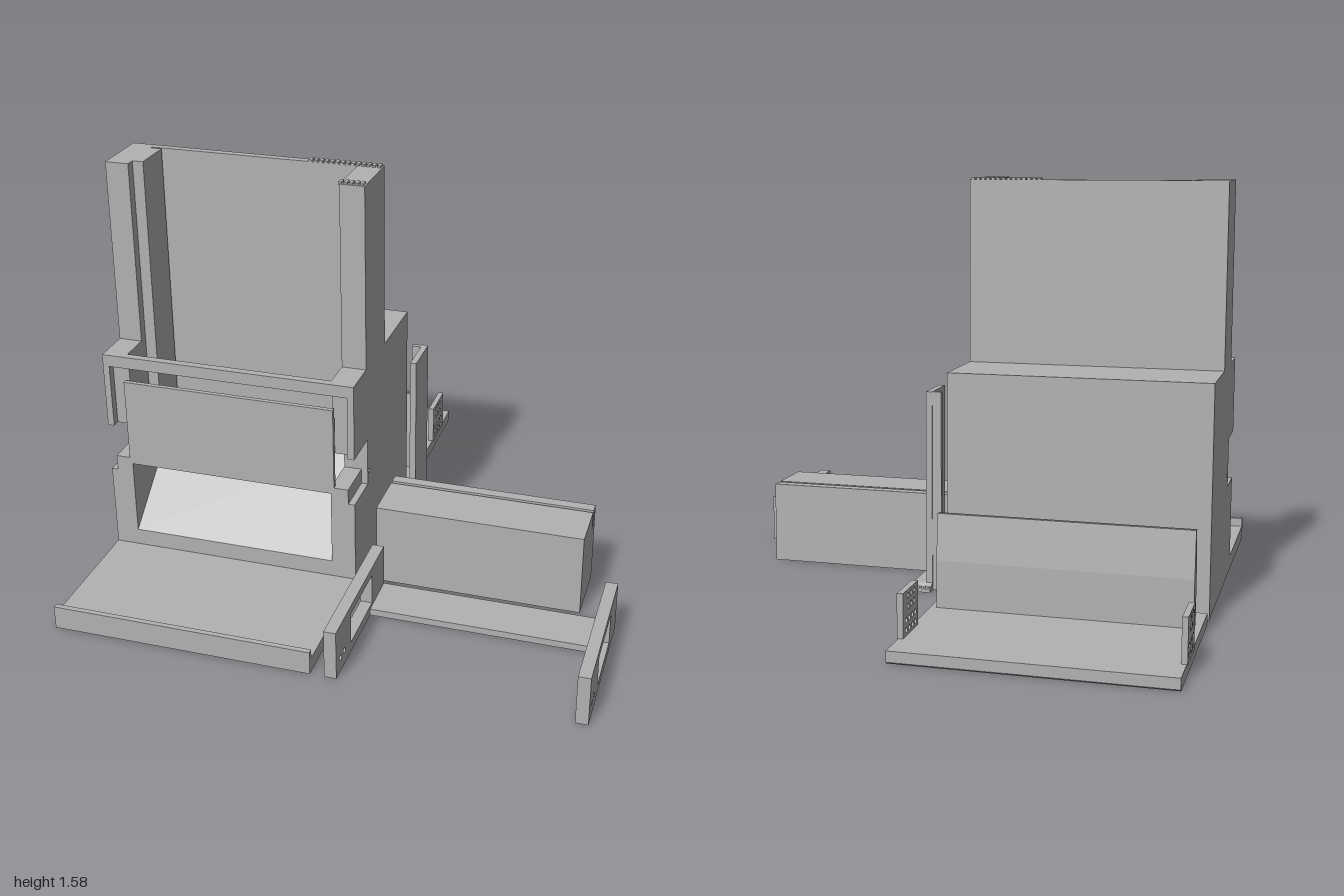
import * as THREE from 'three';

const plastic = new THREE.MeshStandardMaterial({ color: 0xb2b2b2 });
plastic.name = 'grey plastic';

function add(parent, name, geometry) {
  const mesh = new THREE.Mesh(geometry, plastic);
  mesh.name = name;
  parent.add(mesh);
  return mesh;
}

// Box given by its limits on each axis
function box(parent, name, [x0, x1], [y0, y1], [z0, z1]) {
  const g = new THREE.BoxGeometry(x1 - x0, y1 - y0, z1 - z0);
  g.translate((x0 + x1) / 2, (y0 + y1) / 2, (z0 + z1) / 2);
  return add(parent, name, g);
}

// Side profile of [z, y] points, extruded from x0 to x1
function profile(parent, name, [x0, x1], points, holes = []) {
  const shape = new THREE.Shape(points.map(p => new THREE.Vector2(...p)));
  shape.holes.push(...holes);
  const g = new THREE.ExtrudeGeometry(shape, { depth: x1 - x0, bevelEnabled: false, curveSegments: 6 });
  g.rotateY(-Math.PI / 2);
  g.translate(x1, 0, 0);
  return add(parent, name, g);
}

const round = (z, y, r) => new THREE.Path().absarc(z, y, r, 0, Math.PI * 2, true);
const rect = (z0, z1, y0, y1) => [[z0, y0], [z1, y0], [z1, y1], [z0, y1]];
const rectHole = (...a) => new THREE.Path(rect(...a).reverse().map(p => new THREE.Vector2(...p)));

function group(parent, name) {
  const g = new THREE.Group();
  g.name = name;
  parent.add(g);
  return g;
}

// Hopper tower with chute, front panel and catch tray
function buildHousing(root) {
  const g = group(root, 'housing');
  profile(g, 'backAndRamp', [-0.895, -0.093], [
    [-0.24, 0], [0.467, 0], [0.467, 0.12], [0.105, 0.415], [0.105, 1.57],
    [0.075, 1.57], [0.075, 0.866], [-0.24, 0.866],
  ]);

  // Side wall outline with a front notch; front is the depth above the notch
  const wall = (notchBottom, upper) => [
    [-0.24, 0], [0.467, 0], [0.467, notchBottom], [0.303, notchBottom], [0.303, 0.57],
    [upper, 0.57], [upper, 0.82], [0.467, 0.82], [0.467, 0.866], [0.315, 0.866],
    [0.315, 1.57], [0.075, 1.57], [0.075, 0.866], [-0.24, 0.866],
  ];
  const pin = () => [round(0.283, 0.43, 0.01)];
  for (const [outer, inner] of [
    [[-0.985, -0.96], [-0.96, -0.895]],
    [[-0.025, 0], [-0.093, -0.025]],
  ]) {
    profile(g, 'outerSideWall', outer, wall(0.38, 0.467), pin());
    profile(g, 'innerSideWall', inner, wall(0.44, 0.435), pin());
  }
  box(g, 'guidePillar', [-0.895, -0.853], [0.45, 1.57], [0.115, 0.278]);
  box(g, 'topFrontBar', [-0.895, -0.093], [0.82, 0.866], [0.437, 0.467]);
  box(g, 'frontPanel', [-0.905, -0.08], [0.415, 0.762], [0.45, 0.468]);

  // Catch tray with a raised front lip
  profile(g, 'catchTray', [-0.985, 0],
    [[0.467, 0], [1, 0], [1, 0.09], [0.98, 0.09], [0.98, 0.055], [0.467, 0.055]]);

  // Fine ridges along the tower top
  const ridges = (count, z0, z1) => {
    for (let i = 0; i < count; i++) {
      const x = -0.012 - i * 0.02;
      box(g, 'topRidge', [x - 0.006, x + 0.006], [1.565, 1.577], [z0, z1]);
    }
  };
  ridges(14, 0.075, 0.105);
  ridges(5, 0.28, 0.31);
}

// Long slotted bar
function buildBar(root) {
  profile(root, 'slottedBar', [0.053, 0.843], [
    [0.113, 0], [0.367, 0], [0.367, 0.32], [0.17, 0.32], [0.17, 0.25],
    [0.155, 0.25], [0.155, 0.32], [0.113, 0.32],
  ]);
}

// U-shaped bracket with two windowed arms
function buildBracket(root) {
  const g = group(root, 'bracket');
  box(g, 'crossPlate', [0.098, 0.938], [0, 0.026], [0.42, 0.6]);
  for (const xs of [[0.053, 0.098], [0.938, 0.983]]) {
    profile(g, 'bracketArm', xs, rect(0.42, 1, 0, 0.19),
      [rectHole(0.575, 0.83, 0.038, 0.157), round(0.907, 0.056, 0.011), round(0.95, 0.056, 0.011)]);
  }
}

// Upright plate with a fin and a notched foot
function buildUpright(root) {
  const g = group(root, 'upright');
  box(g, 'uprightPlate', [0.088, 0.112], [0.02, 0.776], [-0.145, 0.03]);
  box(g, 'uprightFin', [0.053, 0.088], [0, 0.776], [-0.14, -0.122]);
  profile(g, 'foot', [0.088, 0.165],
    [[-0.18, 0], [0.055, 0], [0.055, 0.012], [0.03, 0.03], [-0.145, 0.03], [-0.18, 0.012]]);
  for (let i = 0; i < 5; i++) {
    const x = 0.092 + i * 0.016;
    for (const zs of [[-0.18, -0.15], [0.03, 0.055]]) {
      box(g, 'footRidge', [x, x + 0.008], [0.008, 0.022], zs);
    }
  }
}

// Base plate with a forked blade and two perforated tabs
function buildBase(root) {
  const g = group(root, 'basePlateAssembly');
  profile(g, 'basePlate', [-0.985, -0.01], [
    [-1, 0.006], [-0.994, 0], [-0.306, 0], [-0.3, 0.006], [-0.3, 0.045], [-1, 0.045],
  ]);
  profile(g, 'forkedBlade', [-0.96, -0.033], [
    [-0.493, 0.045], [-0.44, 0.045], [-0.44, 0.22], [-0.457, 0.39], [-0.463, 0.39],
    [-0.4655, 0.29], [-0.4675, 0.29], [-0.47, 0.39], [-0.476, 0.39], [-0.493, 0.22],
  ]);
  for (const xs of [[-0.988, -0.967], [-0.028, -0.006]]) {
    const holes = [];
    [0.182, 0.145, 0.1, 0.065].forEach((y, row) => {
      for (let i = 0; i < (row < 2 ? 3 : 4); i++) {
        holes.push(round(-0.742 - i * 0.034 + (row < 2 ? 0 : 0.014), y, 0.01));
      }
    });
    profile(g, 'perforatedTab', xs, rect(-0.868, -0.698, 0.04, 0.203), holes);
  }
}

export function createModel() {
  const root = new THREE.Group();
  root.name = 'dispenserParts';
  buildHousing(root);
  buildBar(root);
  buildBracket(root);
  buildUpright(root);
  buildBase(root);
  return root;
}
